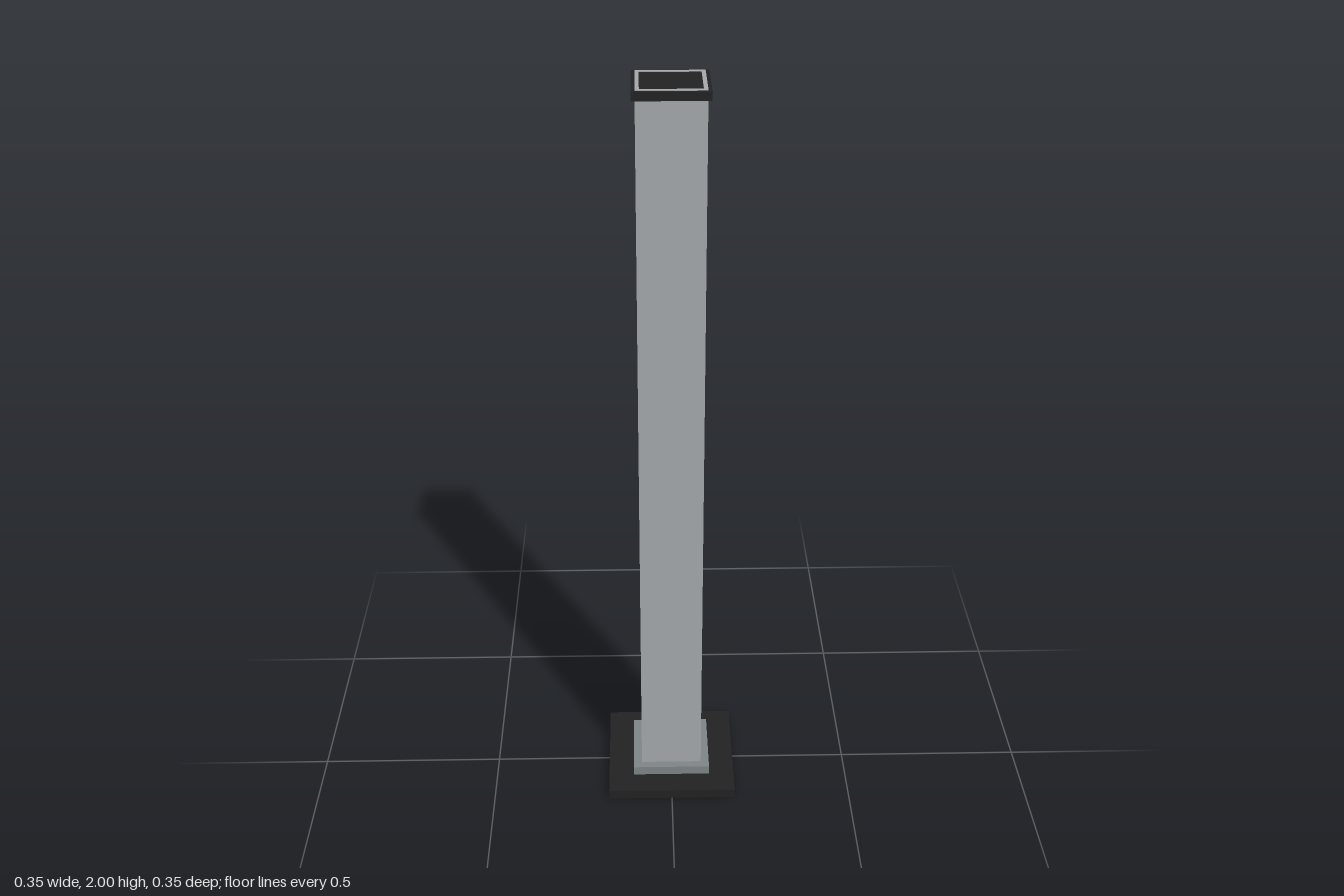
import * as THREE from 'three';

export function createModel() {
  const group = new THREE.Group();
  const steel = new THREE.MeshStandardMaterial({ name: 'light grey', color: 0xa3a8aa });
  const collarGrey = new THREE.MeshStandardMaterial({ name: 'mid grey', color: 0x7e8386 });
  const black = new THREE.MeshStandardMaterial({ name: 'black', color: 0x222222 });

  const add = (name, geometry, material) => {
    const mesh = new THREE.Mesh(geometry, material);
    mesh.name = name;
    group.add(mesh);
  };

  // Square outline centred on the axis
  const square = (half, Type) => new Type([
    new THREE.Vector2(-half, -half), new THREE.Vector2(half, -half),
    new THREE.Vector2(half, half), new THREE.Vector2(-half, half),
  ]);

  // Square slab between two heights
  const slab = (half, y0, y1) =>
    new THREE.BoxGeometry(2 * half, y1 - y0, 2 * half).translate(0, (y0 + y1) / 2, 0);

  // Square tube between two heights
  const tube = (outer, inner, y0, y1) => {
    const shape = square(outer, THREE.Shape);
    shape.holes.push(square(inner, THREE.Path));
    return new THREE.ExtrudeGeometry(shape, { depth: y1 - y0, bevelEnabled: false })
      .rotateX(-Math.PI / 2).translate(0, y0, 0);
  };

  // Foot plate and the collar that holds the post
  add('basePlate', slab(0.177, 0, 0.027), black);
  add('collar', tube(0.107, 0.084, 0.027, 0.053), collarGrey);

  // Hollow post, its rim just showing through the cap
  add('post', tube(0.084, 0.074, 0.027, 2), steel);
  add('cap', slab(0.093, 1.977, 1.998), black);

  return group;
}
